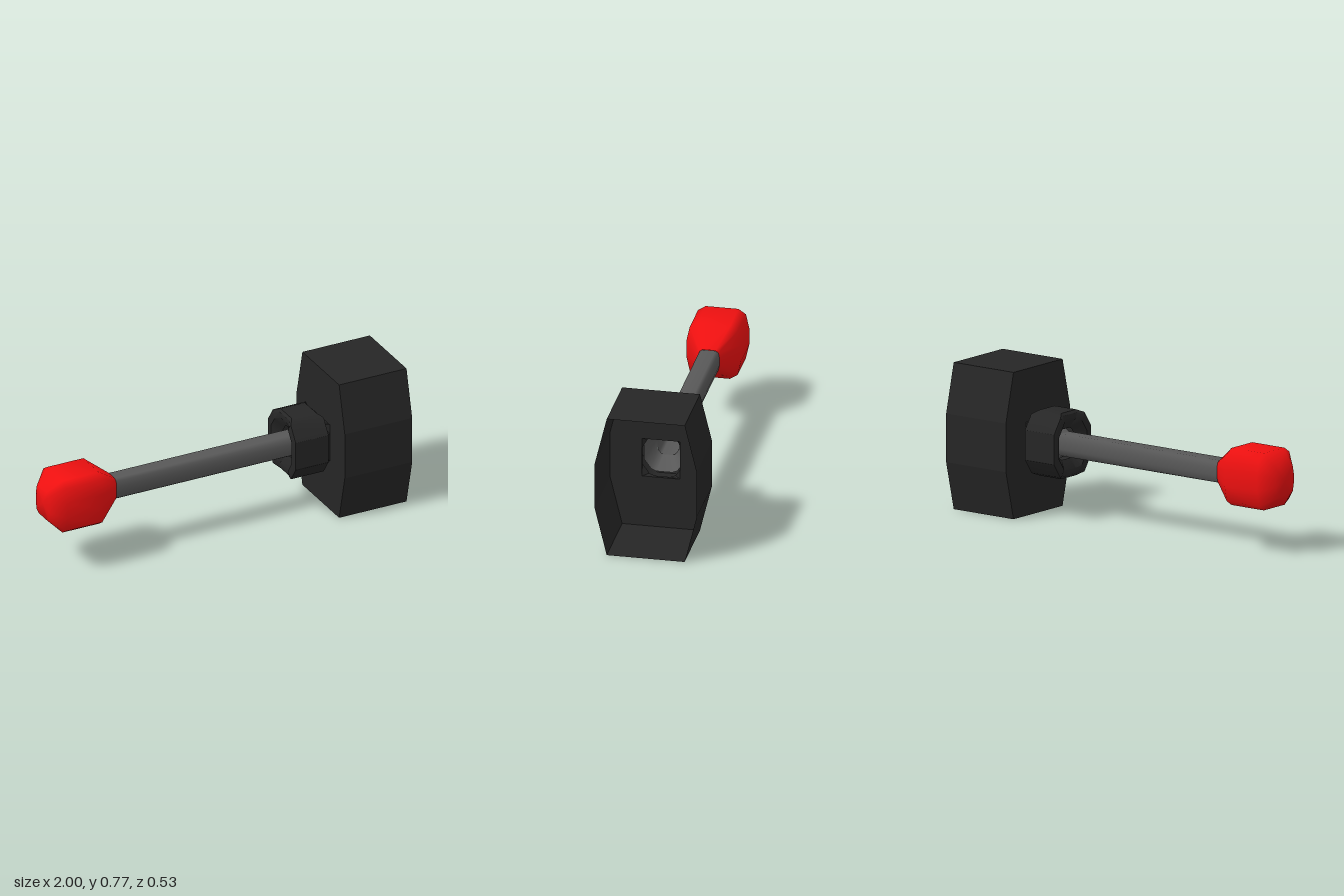
import * as THREE from 'three';
import { toCreasedNormals } from 'three/addons/utils/BufferGeometryUtils.js';

const mat = (color) => new THREE.MeshStandardMaterial({ color, side: THREE.DoubleSide });

// Repeat quarter-outline points [z, y] round all four quadrants, counter-clockwise from +z to +y
function fullOutline(q) {
  const r = [...q].reverse();
  return [...q, ...r.map(([z, y]) => [-z, y]), ...q.map(([z, y]) => [-z, -y]), ...r.map(([z, y]) => [z, -y])];
}

const ROUND = fullOutline([[1, 0.3], [0.88, 0.82], [0.6, 1]]);
const COLLAR = fullOutline([[1, 0.45], [0.65, 0.9], [0.4, 1]]);
const SQUARE = fullOutline([[1, 0.5], [1, 1], [0.5, 1]]);

// Skin a row of outlines along x; each ring is [x, half z, half y, outline, x shift of the z sides]
function loft(rings, outline) {
  const n = outline.length, pos = [], idx = [];
  for (const [x, hz, hy, shape = outline, shift = 0] of rings) {
    for (let j = 0; j < n; j++) {
      const [z, y] = shape[j];
      pos.push(x + (Math.abs(outline[j][0]) > 0.6 ? shift : 0), y * hy, z * hz);
    }
  }
  for (let i = 0; i < rings.length - 1; i++) {
    for (let j = 0; j < n; j++) {
      const a = i * n + j, b = i * n + (j + 1) % n;
      idx.push(a, a + n, b, b, a + n, b + n);
    }
  }
  const g = new THREE.BufferGeometry();
  g.setAttribute('position', new THREE.Float32BufferAttribute(pos, 3));
  g.setIndex(idx);
  g.computeVertexNormals();
  return g;
}

export function createModel() {
  const model = new THREE.Group();
  const axis = 0.386;
  const black = mat(0x262626), grey = mat(0x585858), red = mat(0xf01010);
  const add = (name, geometry, material) => {
    const mesh = new THREE.Mesh(geometry, material);
    mesh.name = name;
    mesh.position.y = axis;
    model.add(mesh);
  };

  // Faceted grip end, closed at its far end
  add('knob', loft([
    [-1, 0, 0], [-1, 0.075, 0.08], [-0.93, 0.143, 0.15], [-0.72, 0.143, 0.15], [-0.6, 0.056, 0.06],
  ], ROUND), red);

  // Hollow rod, flaring into a funnel inside the collar
  add('shaft', loft([[-0.6, 0.056, 0.059], [0.43, 0.056, 0.059]], ROUND), grey);
  add('funnel', loft([[0.43, 0.056, 0.059], [0.53, 0.105, 0.11]], COLLAR), grey);

  // Collar with recessed mouth and longer side cheeks, narrowing to a square neck
  add('collar', toCreasedNormals(loft([
    [0.43, 0.075, 0.08],
    [0.4, 0.115, 0.13, COLLAR, -0.018],
    [0.4, 0.14, 0.16, COLLAR, -0.02],
    [0.41, 0.154, 0.173, COLLAR, -0.025],
    [0.55, 0.154, 0.173, COLLAR, 0.025],
    [0.56, 0.14, 0.155, COLLAR, 0.02],
    [0.575, 0.105, 0.115],
    [0.61, 0.1, 0.106, SQUARE],
  ], COLLAR), 0.6), black);

  // Head: eight-sided thin shell, open at the far end
  const hull = [[0.267, 0.128], [0.204, 0.386]];
  const wall = loft([[0.61, 1, 1], [1, 1, 1]], fullOutline(hull));
  add('headWall', toCreasedNormals(wall, 0.1), black);

  // Back plate of the head with the square neck opening
  const plate = new THREE.Shape(fullOutline(hull).map(([z, y]) => new THREE.Vector2(z, y)));
  plate.holes.push(new THREE.Path(
    [[0.1, 0.106], [0.1, -0.106], [-0.1, -0.106], [-0.1, 0.106]].map(([z, y]) => new THREE.Vector2(z, y))));
  const plateGeo = new THREE.ShapeGeometry(plate);
  plateGeo.rotateY(-Math.PI / 2).translate(0.61, 0, 0);
  add('headBackPlate', plateGeo, black);

  return model;
}
